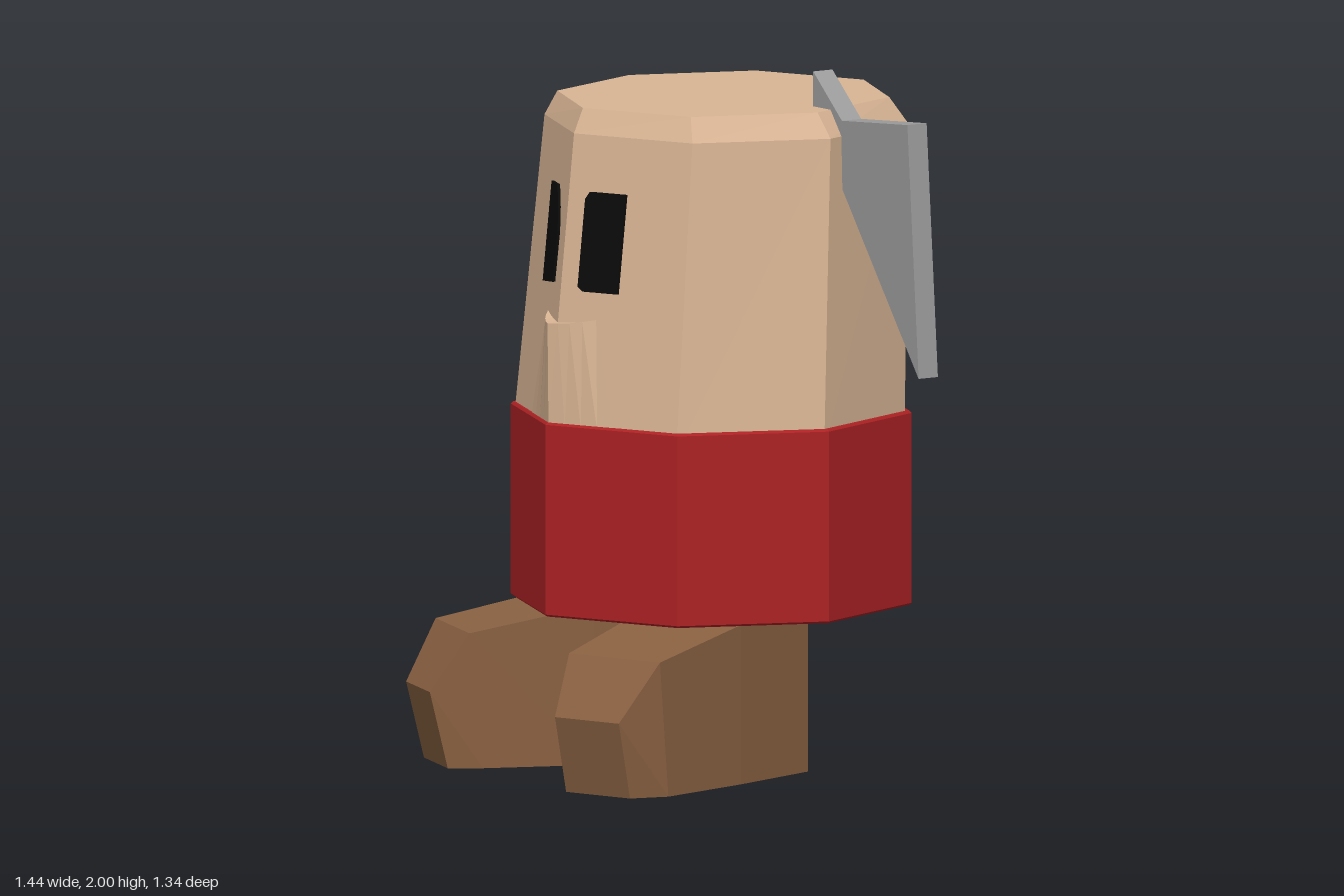
import * as THREE from 'three';

const CX = -0.147; // the body sits a little off centre, balancing the blade

const skin = new THREE.MeshStandardMaterial({ color: 0xd9b594 });
skin.name = 'skin';
const red = new THREE.MeshStandardMaterial({ color: 0xae2224 });
red.name = 'red cloth';
const brown = new THREE.MeshStandardMaterial({ color: 0x8a6142 });
brown.name = 'brown leather';
const grey = new THREE.MeshStandardMaterial({ color: 0x9c9c9c });
grey.name = 'grey metal';
const black = new THREE.MeshStandardMaterial({ color: 0x0b0b0b });
black.name = 'black';

function addMesh(group, name, geometry, material) {
  const mesh = new THREE.Mesh(geometry, material);
  mesh.name = name;
  group.add(mesh);
}

// Faceted geometry from a list of triangle corners
function faceted(points) {
  const g = new THREE.BufferGeometry().setFromPoints(points);
  g.computeVertexNormals();
  return g;
}

// Joins equal-sized closed loops of points and caps both ends
function loft(loops) {
  const out = [];
  const n = loops[0].length;
  for (let k = 0; k + 1 < loops.length; k++) {
    const a = loops[k], b = loops[k + 1];
    for (let i = 0; i < n; i++) {
      const j = (i + 1) % n;
      out.push(a[i], a[j], b[j], a[i], b[j], b[i]);
    }
  }
  const first = loops[0], last = loops[loops.length - 1];
  for (let i = 1; i + 1 < n; i++) {
    out.push(first[0], first[i + 1], first[i], last[0], last[i], last[i + 1]);
  }
  return faceted(out);
}

// Body rings: height, x radius, z radius, z centre
const RINGS = [
  [0.95, 0.562, 0.562, -0.089],
  [1.83, 0.511, 0.528, -0.147],
  [1.9, 0.461, 0.488, -0.138],
];

function octagon([y, rx, rz, cz]) {
  return Array.from({ length: 8 }, (_, i) => {
    const a = (i * Math.PI) / 4;
    return new THREE.Vector3(CX + rx * Math.sin(a), y, cz + rz * Math.cos(a));
  });
}

// Depth of the two front body faces at a given x and y
function faceZ(x, y) {
  const t = (y - RINGS[0][0]) / (RINGS[1][0] - RINGS[0][0]);
  const [, rx, rz, cz] = RINGS[0].map((v, i) => THREE.MathUtils.lerp(v, RINGS[1][i], t));
  return cz + rz - (Math.abs(x - CX) * rz * (1 - Math.SQRT1_2)) / (rx * Math.SQRT1_2);
}

// Chin standing slightly proud of the face, its upper ledge forming the smile
function chinGeometry() {
  const rows = [];
  const steps = 8;
  for (let i = 0; i <= steps; i++) {
    const t = (i / steps) * 2 - 1;
    const x = CX + 0.118 * t;
    const y = 1.294 + 0.016 * t * t;
    const xb = CX + 0.2 * t;
    const z = faceZ(x, y);
    rows.push([
      new THREE.Vector3(x, y, z - 0.002),
      new THREE.Vector3(x, y, z + 0.002 + 0.034 * (1 - t * t)),
      new THREE.Vector3(xb, 1.0, faceZ(xb, 1.0) + 0.002),
    ]);
  }
  const out = [];
  for (let i = 0; i < steps; i++) {
    const [a, b, c] = rows[i], [d, e, f] = rows[i + 1];
    out.push(b, e, d, b, d, a); // ledge
    out.push(c, f, e, c, e, b); // chin front
  }
  return faceted(out);
}

// Thin plate laid against the face
function eyeGeometry(outline) {
  const shape = new THREE.Shape(outline.map(([x, y]) => new THREE.Vector2(x, y)));
  const g = new THREE.ExtrudeGeometry(shape, { depth: 0.009, bevelEnabled: false });
  const p = g.attributes.position;
  for (let i = 0; i < p.count; i++) {
    p.setZ(i, p.getZ(i) + 0.002 + faceZ(p.getX(i), p.getY(i)));
  }
  g.computeVertexNormals();
  return g;
}

// Foot cross-sections from heel to toe:
// inner side, outer side, top height, bottom distance, top distance
const FOOT = [
  [-0.11, 0.259, 0.465, -0.1, -0.1],
  [-0.11, 0.259, 0.456, 0.22, 0.22],
  [-0.08, 0.24, 0.388, 0.54, 0.58],
  [-0.05, 0.175, 0.22, 0.635, 0.688],
];

function footGeometry(mirrored) {
  const yaw = 0.315;
  const c = Math.cos(yaw), s = Math.sin(yaw);
  const place = (r, y, f) => {
    const x = c * r + s * f;
    return new THREE.Vector3(mirrored ? -0.28 - x : x, y, c * f - s * r);
  };
  return loft(FOOT.map(([inner, outer, top, fb, ft]) => {
    const loop = [
      place(inner, 0, fb), place(outer, 0, fb),
      place(outer, top, ft), place(inner, top, ft),
    ];
    return mirrored ? loop.reverse() : loop;
  }));
}

export function createModel() {
  const model = new THREE.Group();
  model.name = 'figure';

  // Body and trousers
  addMesh(model, 'body', loft(RINGS.map(octagon)), skin);
  addMesh(model, 'chin', chinGeometry(), skin);
  addMesh(model, 'trousers', loft([
    octagon([0.455, 0.57, 0.57, -0.096]),
    octagon([0.461, 0.576, 0.576, -0.096]),
    octagon([1.004, 0.576, 0.576, -0.096]),
    octagon([1.01, 0.57, 0.57, -0.096]),
  ]), red);

  // Eyes
  addMesh(model, 'rightEye', eyeGeometry([
    [-0.325, 1.387], [-0.21, 1.4], [-0.204, 1.545],
    [-0.22, 1.61], [-0.25, 1.67], [-0.323, 1.67],
  ]), black);
  addMesh(model, 'leftEye', eyeGeometry([
    [-0.087, 1.4], [-0.07, 1.388], [0.033, 1.388],
    [0.033, 1.67], [-0.075, 1.67], [-0.087, 1.65],
  ]), black);

  // Feet
  addMesh(model, 'leftFoot', footGeometry(false), brown);
  addMesh(model, 'rightFoot', footGeometry(true), brown);

  // Blade stuck in the side of the body
  const blade = new THREE.Shape([
    [0.205, 2.0], [0.205, 1.87], [0.72, 1.18], [0.665, 1.9], [0.345, 1.875],
  ].map(([x, y]) => new THREE.Vector2(x, y)));
  const bladeGeometry = new THREE.ExtrudeGeometry(blade, { depth: 0.067, bevelEnabled: false });
  bladeGeometry.translate(0, 0, -0.267);
  addMesh(model, 'blade', bladeGeometry, grey);

  return model;
}
